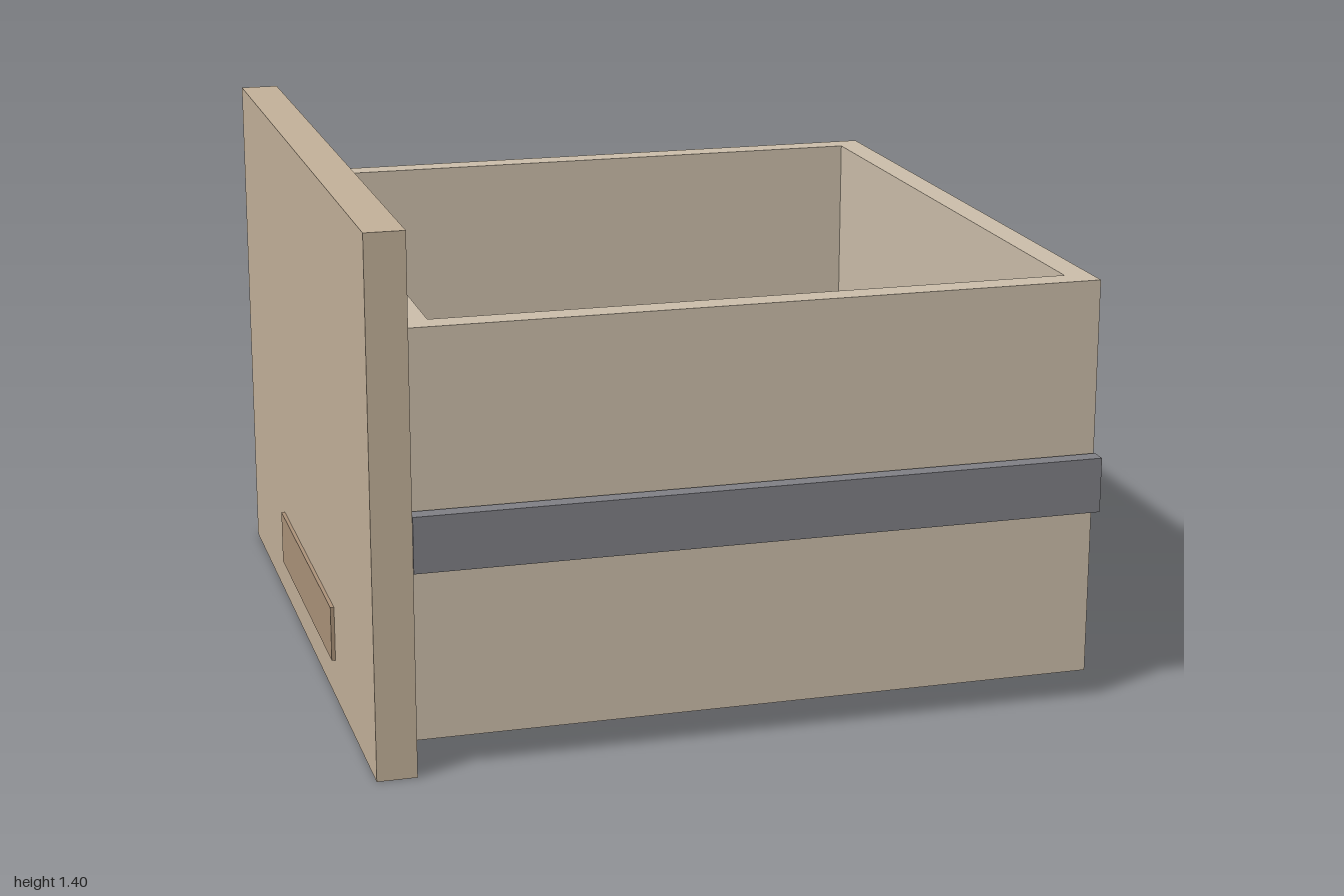
import * as THREE from 'three';

const material = (color) => new THREE.MeshStandardMaterial({ color });
const boxWood = material(0xcdbfab);
const panelWood = material(0xc4b29a);
const railMetal = material(0x808086);
const handleWood = material(0xac937a);

// Box mesh given by its minimum and maximum corners
function block(name, mat, [x0, y0, z0], [x1, y1, z1]) {
  const mesh = new THREE.Mesh(new THREE.BoxGeometry(x1 - x0, y1 - y0, z1 - z0), mat);
  mesh.position.set((x0 + x1) / 2, (y0 + y1) / 2, (z0 + z1) / 2);
  mesh.name = name;
  return mesh;
}

// Rectangle outline centred on y = 0
function rectangle(PathType, x0, x1, half) {
  return new PathType([
    new THREE.Vector2(x0, -half), new THREE.Vector2(x1, -half),
    new THREE.Vector2(x1, half), new THREE.Vector2(x0, half),
  ]);
}

export function createModel() {
  const group = new THREE.Group();
  group.name = 'drawer';

  const front = -0.853, back = 0.965, halfWidth = 0.946;
  const bottom = 0.08, top = 1.15, wall = 0.071;

  // Four walls as one open frame
  const outline = rectangle(THREE.Shape, front, back, halfWidth);
  outline.holes.push(rectangle(THREE.Path, front + wall, back - wall, halfWidth - wall));
  const frame = new THREE.ExtrudeGeometry(outline, { depth: top - bottom, bevelEnabled: false });
  frame.rotateX(-Math.PI / 2).translate(0, bottom, 0);
  const walls = new THREE.Mesh(frame, boxWood);
  walls.name = 'drawerWalls';
  group.add(walls);

  // Floor between the walls
  group.add(block('drawerFloor', boxWood,
    [front + wall, bottom, -halfWidth + wall], [back - wall, bottom + wall, halfWidth - wall]));

  // Tall face panel with its low, flush handle
  group.add(block('facePanel', panelWood, [-0.957, 0, -0.994], [front, 1.403, 0.994]));
  group.add(block('handle', handleWood, [-0.967, 0.107, -0.415], [-0.95, 0.257, 0.415]));

  // Slide rails standing just clear of the side walls
  for (const side of [-1, 1]) {
    const z = [side * 0.955, side].sort((a, b) => a - b);
    group.add(block(side > 0 ? 'frontSlideRail' : 'backSlideRail', railMetal,
      [front, 0.54, z[0]], [back, 0.687, z[1]]));
  }
  return group;
}
